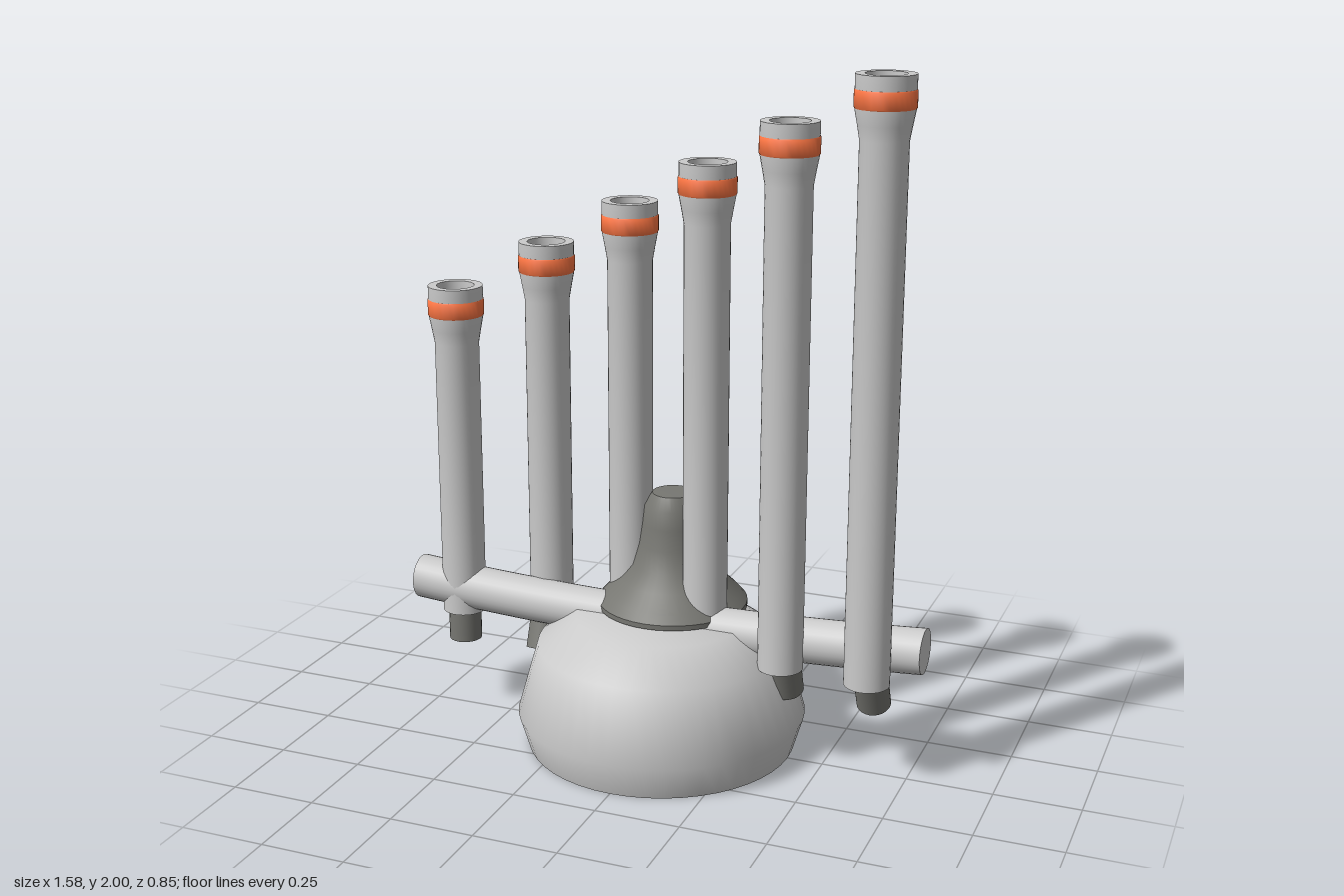
import * as THREE from 'three';
import { toCreasedNormals } from 'three/addons/utils/BufferGeometryUtils.js';

const grey = new THREE.MeshStandardMaterial({ color: 0xcccccc });
const dark = new THREE.MeshStandardMaterial({ color: 0x777772 });
const orange = new THREE.MeshStandardMaterial({ color: 0xff7744 });

function part(parent, name, geometry, material) {
  const mesh = new THREE.Mesh(geometry, material);
  mesh.name = name;
  parent.add(mesh);
  return mesh;
}

// Profile of [radius, y] pairs, outer side running upwards
function lathe(points, segments = 32, crease = 0.7) {
  const profile = points.map(([r, y]) => new THREE.Vector2(r, y));
  return toCreasedNormals(new THREE.LatheGeometry(profile, segments), crease);
}

// Hollow pipe with a flared collar and a coloured band
function makePipe(top) {
  const pipe = new THREE.Group();
  const bottom = 0.315;
  part(pipe, 'pipeBody', lathe([
    [0.052, bottom], [0.065, bottom], [0.065, top - 0.17], [0.072, top - 0.13],
    [0.08, top - 0.088], [0.08, top], [0.055, top], [0.052, top - 0.1], [0.052, bottom],
  ]), grey);
  part(pipe, 'pipeBand', lathe([
    [0.08, top - 0.088], [0.082, top - 0.085], [0.082, top - 0.042], [0.08, top - 0.039],
  ]), orange);
  return pipe;
}

export function createModel() {
  const model = new THREE.Group();
  model.name = 'pipeOrgan';

  // Rounded pedestal
  part(model, 'base', lathe([
    [0, 0], [0.395, 0], [0.425, 0.1], [0.365, 0.31], [0.252, 0.393], [0, 0.393],
  ], 48, 0.75), grey);

  // Flared stopper set towards the back of the pedestal
  const stopper = part(model, 'stopper', lathe([
    [0.222, 0.397], [0.222, 0.412], [0.2, 0.437], [0.155, 0.48], [0.12, 0.525],
    [0.1, 0.59], [0.09, 0.65], [0.083, 0.705], [0.06, 0.743], [0, 0.745],
  ], 40), dark);
  stopper.position.z = -0.088;

  // Horizontal bar sagging slightly in the middle
  const barGeo = new THREE.CylinderGeometry(0.066, 0.066, 1.58, 28, 24);
  barGeo.rotateZ(Math.PI / 2);
  const pos = barGeo.attributes.position;
  for (let i = 0; i < pos.count; i++) {
    const t = pos.getX(i) / 0.79;
    pos.setY(i, pos.getY(i) + 0.4 - 0.03 * (1 - t * t));
  }
  part(model, 'bar', toCreasedNormals(barGeo, 0.7), grey);

  // Six pipes rising to the left, weaving in front of and behind the bar
  for (let i = 0; i < 6; i++) {
    const x = -0.648 + i * 0.2592;
    const z = -0.09 * Math.sin(i);
    const pipe = makePipe(1.325 + i * 0.135);
    pipe.name = `pipe${i + 1}`;
    pipe.position.set(x, 0, z);
    model.add(pipe);

    // Slanted connector from under the bar up into the pipe
    const length = Math.hypot(0.2, z);
    const stub = part(model, `connector${i + 1}`,
      new THREE.CylinderGeometry(0.049, 0.049, length, 24), dark);
    stub.position.set(x, 0.32, z / 2);
    stub.rotation.x = Math.atan2(z, 0.2);
  }
  return model;
}
